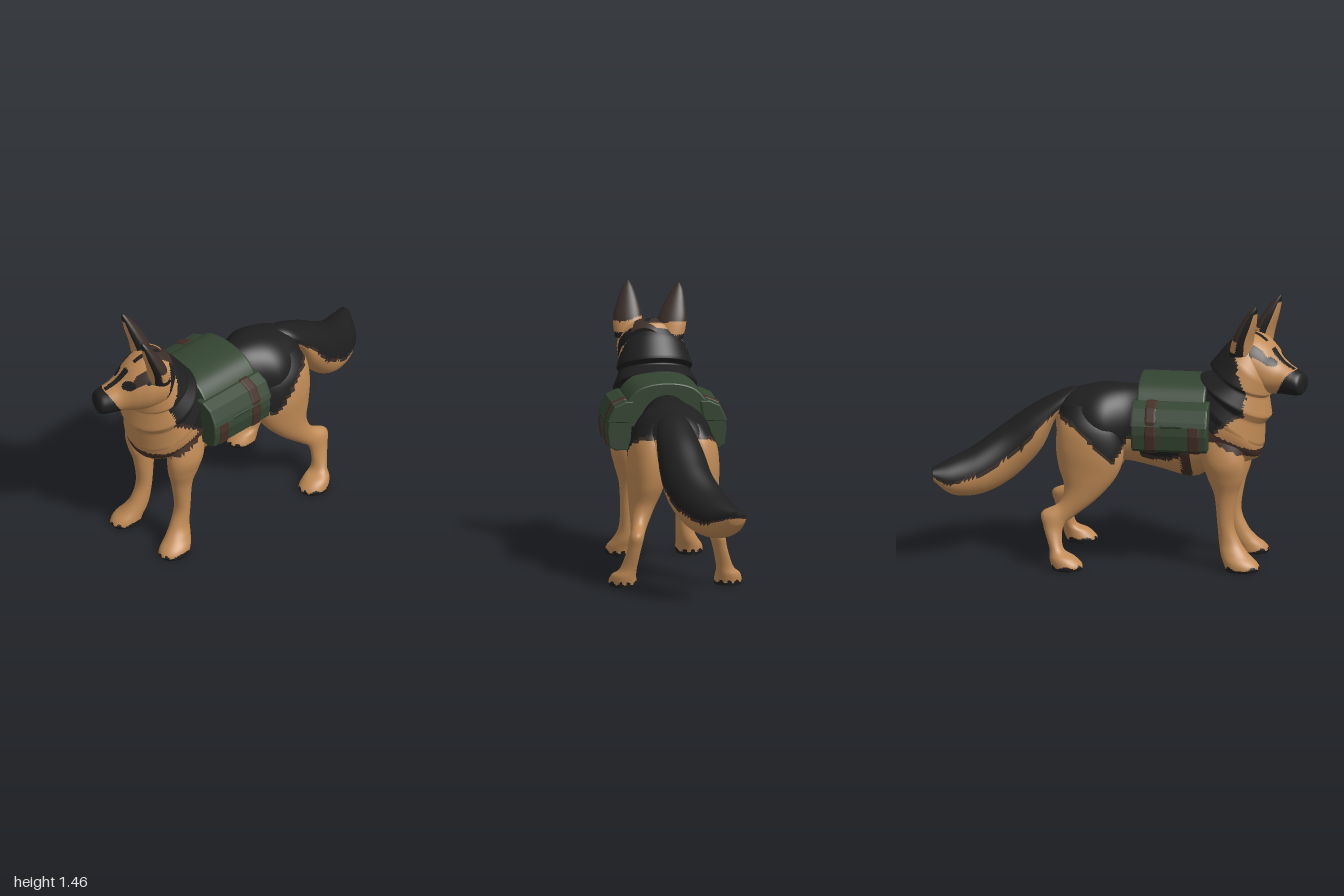
import * as THREE from 'three';
import { RoundedBoxGeometry } from 'three/addons/geometries/RoundedBoxGeometry.js';

const mat = (name, color) => Object.assign(new THREE.MeshStandardMaterial({ color }), { name });

// Coat colour indices used by the painting rules
const TAN = 0, BLACK = 1, BROWN = 2, STRAP = 3;

// Lofts elliptical rings. Section: [zA, yA, zB, yB, halfWidth, centreX], where A and B
// are opposite ends of the ring in the side plane. rule(x, y, z, c) picks the colour of
// each face; c is 1 on the A side of the ring and -1 on the B side.
function loft(name, sections, rule, mats, { steps = 7, seg = 40, smooth = true } = {}) {
  const rows = [];
  const n = sections.length;
  const at = i => sections[Math.min(n - 1, Math.max(0, i))];
  for (let i = 0; i < n - 1; i++) {
    for (let s = 0; s < steps; s++) {
      const t = s / steps;
      rows.push(at(i).map((p1, k) => {
        const p0 = at(i - 1)[k], p2 = at(i + 1)[k], p3 = at(i + 2)[k];
        if (!smooth) return p1 + (p2 - p1) * t;
        return p1 + 0.5 * t * (p2 - p0 + t * (2 * p0 - 5 * p1 + 4 * p2 - p3 + t * (3 * (p1 - p2) + p3 - p0)));
      }));
    }
  }
  rows.push(at(n - 1));

  const pos = [], cosines = [];
  const centre = r => [r[5], (r[1] + r[3]) / 2, (r[0] + r[2]) / 2];
  for (const r of rows) {
    const [cx, cy, cz] = centre(r);
    for (let j = 0; j < seg; j++) {
      const a = j / seg * Math.PI * 2, c = Math.cos(a);
      pos.push(cx + Math.sin(a) * r[4], cy + c * (r[1] - cy), cz + c * (r[0] - cz));
      cosines.push(c);
    }
  }
  const first = pos.length / 3;
  pos.push(...centre(rows[0]), ...centre(rows[rows.length - 1]));
  cosines.push(0, 0);

  // Winding follows the direction in which the loft travels
  const m = Math.floor(n / 2), A = at(m), d0 = centre(at(m - 1)), d1 = centre(A);
  const flip = (A[0] - A[2]) * (d1[1] - d0[1]) - (A[1] - A[3]) * (d1[2] - d0[2]) < 0;
  const buckets = mats.map(() => []);
  const tri = (a, b, c) => {
    const mid = k => (pos[a * 3 + k] + pos[b * 3 + k] + pos[c * 3 + k]) / 3;
    const colour = rule(mid(0), mid(1), mid(2), (cosines[a] + cosines[b] + cosines[c]) / 3);
    buckets[colour].push(...(flip ? [a, c, b] : [a, b, c]));
  };
  const last = rows.length - 1;
  for (let j = 0; j < seg; j++) {
    const k = (j + 1) % seg;
    for (let i = 0; i < last; i++) {
      const a = i * seg + j, b = i * seg + k;
      tri(a, b, a + seg);
      tri(b, b + seg, a + seg);
    }
    tri(first, k, j);
    tri(first + 1, last * seg + j, last * seg + k);
  }
  const geo = new THREE.BufferGeometry();
  geo.setAttribute('position', new THREE.Float32BufferAttribute(pos, 3));
  let start = 0;
  buckets.forEach((b, i) => { if (b.length) geo.addGroup(start, b.length, i); start += b.length; });
  geo.setIndex(buckets.flat());
  geo.computeVertexNormals();
  const mesh = new THREE.Mesh(geo, mats);
  mesh.name = name;
  return mesh;
}

// Lower edge of the dark saddle as [z, y]
const SADDLE = [[-0.36, 0.8], [-0.24, 0.78], [-0.1, 0.63], [-0.03, 0.57], [0.05, 0.7], [0.12, 0.6],
  [0.25, 0.58], [0.35, 0.63], [0.45, 0.69], [0.55, 0.79], [0.68, 0.86]];
function saddleEdge(z) {
  for (let i = 1; i < SADDLE.length; i++) {
    const [z0, y0] = SADDLE[i - 1], [z1, y1] = SADDLE[i];
    if (z < z1) return y0 + (y1 - y0) * Math.max(0, (z - z0) / (z1 - z0));
  }
  return 0.86;
}
const ragged = (a, b) => 0.6 * Math.sin(a * 33) + 0.4 * Math.sin(b * 45 + a * 19);

function coat(x, y, z) {
  if (z > 0.45 && Math.abs(y - 0.612 - 0.5 * (0.77 - z)) < 0.025) return STRAP;   // chest strap
  if (Math.abs(z - 0.36) < 0.027 && y < 0.7) return STRAP;                         // girth strap
  if (z > 0.68 + 0.015 * ragged(y, x)) return TAN;
  const h = y - saddleEdge(z) - 0.01 * ragged(z, x);
  return h < 0 ? TAN : h < 0.022 ? BROWN : BLACK;
}
const pawCoat = (x, y, z) => (y < 0.022 + 0.01 * Math.sin(x * 150) ? BLACK : TAN);
const legCoat = (x, y, z) => (y > 0.5 ? coat(x, y, z) : pawCoat(x, y, z));
const neckCoat = (x, y, z) => (y < 0.95 ? coat(x, y, z)
  : z < 0.6 + (1.24 - y) * 0.33 + 0.01 * ragged(y, x) ? BLACK : TAN);
function tailCoat(x, y, z, c) {
  const h = c + 0.1 * ragged(z, 0);
  return h > 0.02 ? BLACK : h > -0.13 ? BROWN : TAN;
}
function headCoat(x, y, z) {
  const ax = Math.abs(x), r = 0.008 * ragged(y, x);
  if (z > 0.205 + (y - 0.96) * 0.75 + r) return BLACK;                             // muzzle
  if (z > 0.08 && Math.hypot((ax - 0.078) / 0.034, (y - 1.145) / 0.024) < 1) return BLACK;     // eyes
  if (z > 0.08 && Math.hypot((ax - 0.108) / 0.026, (y - 1.19) / 0.042) < 1) return BROWN;      // brows
  if (y > 1.1 && ax < 0.018 + r && (z > 0.17 || z < 0.13) && z > -0.02) return BLACK;          // bridge and crown
  if (y > 1.2 && z < 0.05 && ax < 0.07 + r) return BROWN;
  if (y > 1.17 && ax > 0.115 && z > 0.03) return BLACK;                            // temples
  return z < -0.05 + (1.24 - y) * 0.3 + r ? BLACK : TAN;
}
function earCoat(x, y, z, c) {
  if (c < -0.68 && y < 1.42) return TAN;
  if (c < -0.1 || y < 1.2) return BLACK;
  return y < 1.265 + 0.02 * ragged(x, y) ? TAN : BROWN;
}

// Saddlebag cross-section: flat side against the body, outer side rounded.
// It is grown by g and runs from z0 to z1.
function bagSlice(s, g, z0, z1, y0, y1) {
  const outline = [[0.2, 0.67 - g], [0.28, 0.67 - g], [0.312 + g, 0.69], [0.323 + g, 0.77], [0.313 + g, 0.845],
    [0.282 + g, 0.905 + g], [0.225, 0.932 + g], [0.18, 0.93 + g]];
  const b = 0.012;
  const shape = new THREE.Shape(outline.map(([x, y]) => new THREE.Vector2(x * s, Math.min(y1, Math.max(y0, y)))));
  const geo = new THREE.ExtrudeGeometry(shape, {
    depth: z1 - z0 - 2 * b, bevelSize: b * 0.5, bevelOffset: -b * 0.5, bevelThickness: b, bevelSegments: 3,
  });
  return geo.translate(0, 0, z0 + b);
}

export function createModel() {
  const tan = mat('tan fur', 0xc08a55), black = mat('black fur', 0x1f1f1f), brown = mat('dark brown fur', 0x3a2e28);
  const strap = mat('brown strap', 0x443027), green = mat('pack green', 0x344532), dark = mat('seam green', 0x29382a);
  const fur = [tan, black, brown, strap];
  const model = new THREE.Group();
  model.name = 'packDog';

  model.add(loft('torso', [
    [-0.36, 0.84, -0.36, 0.7, 0.03, 0], [-0.3, 0.91, -0.33, 0.62, 0.14, 0], [-0.2, 0.945, -0.22, 0.56, 0.2, 0],
    [-0.1, 0.965, -0.08, 0.55, 0.215, 0], [0.05, 0.965, 0.05, 0.54, 0.155, 0], [0.2, 0.965, 0.2, 0.51, 0.18, 0],
    [0.35, 0.975, 0.38, 0.47, 0.2, 0], [0.45, 0.99, 0.5, 0.52, 0.22, 0], [0.52, 1, 0.66, 0.56, 0.23, 0],
    [0.58, 1, 0.74, 0.595, 0.205, 0], [0.66, 0.96, 0.765, 0.68, 0.13, 0],
  ], coat, fur, { steps: 10, seg: 72 }));

  // Layered ruff of the neck
  model.add(loft('neckRuff', [
    [0.34, 0.85, 0.66, 0.575, 0.2, 0], [0.4, 0.97, 0.765, 0.66, 0.235, 0], [0.44, 1, 0.77, 0.78, 0.215, 0],
    [0.42, 1.03, 0.805, 0.82, 0.227, 0], [0.52, 1.06, 0.79, 0.93, 0.19, 0], [0.475, 1.1, 0.81, 0.945, 0.205, 0],
    [0.56, 1.205, 0.82, 1, 0.18, 0], [0.62, 1.265, 0.82, 1.1, 0.12, 0],
  ], neckCoat, fur, { smooth: false, seg: 72 }));

  model.add(loft('tail', [
    [-0.2, 0.92, -0.28, 0.76, 0.06, 0], [-0.29, 0.93, -0.36, 0.76, 0.095, 0.01], [-0.47, 0.845, -0.44, 0.59, 0.125, -0.01],
    [-0.635, 0.73, -0.58, 0.44, 0.135, -0.04], [-0.79, 0.62, -0.74, 0.36, 0.135, -0.11],
    [-0.92, 0.56, -0.89, 0.365, 0.11, -0.18], [-1, 0.525, -0.985, 0.45, 0.045, -0.25],
  ], tailCoat, fur));

  // Head turned to its right
  const head = new THREE.Group();
  head.name = 'head';
  head.position.set(0.035, 0, 0.66);
  head.rotation.y = -0.36;
  head.add(loft('skullAndMuzzle', [
    [-0.07, 1.24, -0.07, 1, 0.11, 0], [0, 1.275, 0, 0.97, 0.17, 0], [0.08, 1.265, 0.08, 0.95, 0.165, 0],
    [0.15, 1.22, 0.15, 0.95, 0.137, 0], [0.2, 1.165, 0.2, 0.955, 0.108, 0], [0.24, 1.13, 0.24, 0.957, 0.09, 0],
    [0.3, 1.1, 0.3, 0.957, 0.08, 0], [0.34, 1.08, 0.34, 0.965, 0.068, 0], [0.355, 1.05, 0.352, 0.99, 0.045, 0],
  ], headCoat, fur, { steps: 10, seg: 72 }));

  for (const s of [1, -1]) {
    const side = s > 0 ? 'left' : 'right';
    head.add(loft(side + 'Ear', [
      [-0.03, 1.17, 0.09, 1.18, 0.076, 0.112 * s], [0, 1.27, 0.1, 1.26, 0.08, 0.122 * s], [0.05, 1.36, 0.125, 1.35, 0.058, 0.13 * s],
      [0.1, 1.43, 0.14, 1.425, 0.028, 0.138 * s], [0.13, 1.46, 0.143, 1.458, 0.004, 0.14 * s],
    ], earCoat, fur, { steps: 10 }));

    model.add(loft(side + 'FrontLeg', [
      [0.42, 0.75, 0.66, 0.75, 0.075, 0.14 * s], [0.45, 0.6, 0.68, 0.6, 0.08, 0.165 * s], [0.48, 0.5, 0.67, 0.5, 0.066, 0.16 * s],
      [0.515, 0.4, 0.64, 0.4, 0.05, 0.15 * s], [0.53, 0.25, 0.62, 0.25, 0.044, 0.15 * s], [0.54, 0.15, 0.655, 0.15, 0.046, 0.155 * s],
      [0.55, 0.09, 0.7, 0.09, 0.058, 0.17 * s], [0.565, 0.05, 0.745, 0.05, 0.07, 0.185 * s],
      [0.575, 0.02, 0.765, 0.02, 0.073, 0.19 * s], [0.58, 0, 0.757, 0, 0.068, 0.19 * s],
    ], legCoat, fur));

    model.add(loft(side + 'HindLeg', [
      [-0.28, 0.88, -0.06, 0.86, 0.06, 0.1 * s], [-0.33, 0.78, 0, 0.74, 0.1, 0.13 * s], [-0.345, 0.66, 0.02, 0.6, 0.11, 0.14 * s],
      [-0.33, 0.54, -0.02, 0.48, 0.095, 0.15 * s], [-0.295, 0.43, -0.12, 0.365, 0.065, 0.175 * s],
      [-0.32, 0.345, -0.24, 0.27, 0.042, 0.2 * s], [-0.41, 0.295, -0.285, 0.235, 0.04, 0.22 * s],
      [-0.4, 0.22, -0.3, 0.175, 0.038, 0.235 * s], [-0.365, 0.11, -0.285, 0.1, 0.046, 0.26 * s],
      [-0.36, 0.06, -0.22, 0.065, 0.066, 0.28 * s], [-0.35, 0.02, -0.18, 0.025, 0.075, 0.285 * s],
      [-0.345, 0, -0.185, 0, 0.07, 0.285 * s],
    ], legCoat, fur));

    // Saddlebag with flap, straps and clasp
    const bag = new THREE.Group();
    bag.name = side + 'Saddlebag';
    const slice = (name, m, ...size) => {
      const mesh = new THREE.Mesh(bagSlice(s, ...size), m);
      mesh.name = name;
      bag.add(mesh);
    };
    slice('pouch', green, 0, 0.085, 0.492, 0, 1);
    slice('flap', green, 0.003, 0.08, 0.495, 0.82, 1);
    slice('frontStrap', strap, 0.006, 0.392, 0.455, 0, 0.83);
    slice('rearStrap', strap, 0.008, 0.158, 0.218, 0, 1);
    const clasp = new THREE.Mesh(new RoundedBoxGeometry(0.014, 0.014, 0.12, 2, 0.005), dark);
    clasp.name = 'clasp';
    clasp.position.set(0.321 * s, 0.822, 0.3);
    bag.add(clasp);
    model.add(bag);
  }
  model.add(head);

  // Pad draped over the back between the saddlebags
  const pad = new THREE.Shape();
  pad.moveTo(-0.235, 0.8);
  pad.splineThru([[-0.215, 0.91], [-0.14, 0.995], [0, 1.022], [0.14, 0.995], [0.215, 0.91], [0.235, 0.8]]
    .map(p => new THREE.Vector2(...p)));
  const padGeo = new THREE.ExtrudeGeometry(pad, { depth: 0.35, bevelSize: 0.008, bevelThickness: 0.01, bevelSegments: 2, curveSegments: 24 });
  const padMesh = new THREE.Mesh(padGeo, green);
  padMesh.name = 'backPad';
  padMesh.position.z = 0.11;
  model.add(padMesh);
  return model;
}
